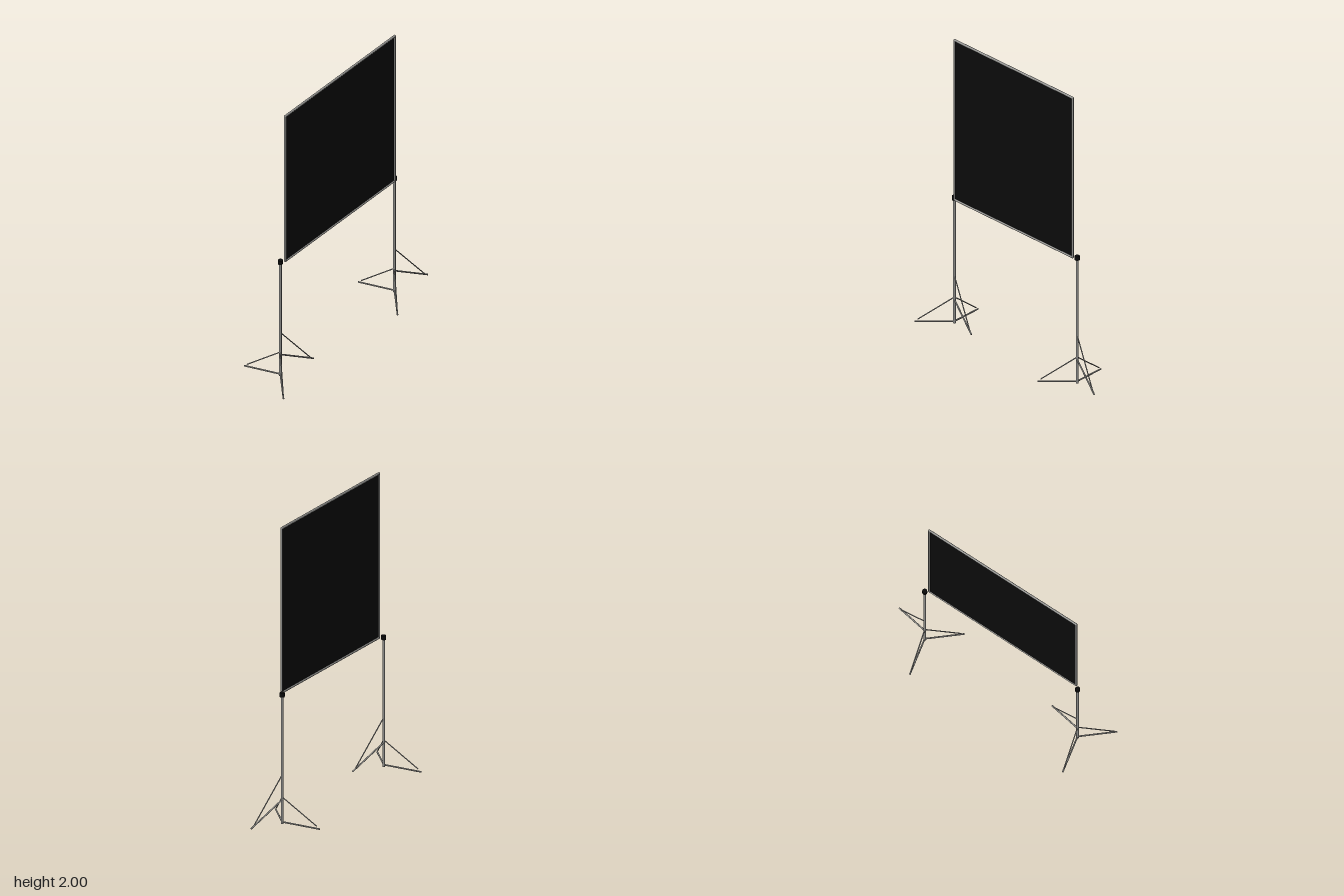
import * as THREE from 'three';

const metal = new THREE.MeshStandardMaterial({ color: 0x999996 });
metal.name = 'grey metal';
const black = new THREE.MeshStandardMaterial({ color: 0x0b0b0b });
black.name = 'black';

// Round bar between two points
function bar(name, a, b, radius) {
  const from = new THREE.Vector3(...a), to = new THREE.Vector3(...b);
  const dir = to.clone().sub(from);
  const mesh = new THREE.Mesh(new THREE.CylinderGeometry(radius, radius, dir.length(), 12), metal);
  mesh.position.copy(from).add(to).multiplyScalar(0.5);
  mesh.quaternion.setFromUnitVectors(new THREE.Vector3(0, 1, 0), dir.normalize());
  mesh.name = name;
  return mesh;
}

// Tripod stand: pole, clamp and three braced legs
function createStand(name) {
  const stand = new THREE.Group();
  stand.name = name;
  stand.add(bar('pole', [0, 0.01, 0], [0, 0.88, 0], 0.009));

  const clamp = new THREE.Mesh(new THREE.CylinderGeometry(0.016, 0.016, 0.028, 20), black);
  clamp.position.y = 0.881;
  clamp.name = 'clamp';
  stand.add(clamp);

  // Foot offset, leg heights at pole and foot, brace heights at pole and foot
  const legs = [
    { x: -0.185, z: 0.17, leg: [0.022, 0.009], brace: [0.19, 0.025] },
    { x: -0.054, z: -0.246, leg: [0.022, 0.009], brace: [0.19, 0.025] },
    { x: 0.243, z: 0.074, leg: [0.172, 0.04], brace: [0.34, 0.052] },
  ];
  for (const { x, z, leg, brace } of legs) {
    stand.add(bar('leg', [0, leg[0], 0], [x, leg[1], z], 0.0052));
    stand.add(bar('legBrace', [0, brace[0], 0], [x * 0.92, brace[1], z * 0.92], 0.0036));
  }
  return stand;
}

export function createModel() {
  const model = new THREE.Group();
  model.name = 'screenOnStands';

  for (const [name, x] of [['rightStand', -0.609], ['leftStand', 0.55]]) {
    const stand = createStand(name);
    stand.position.set(x, 0, 0.036);
    model.add(stand);
  }

  // Tubular frame with ball-rounded corners
  const r = 0.0075, x0 = -0.585, x1 = 0.528, y0 = 0.883, y1 = 1.9925, z = 0.0555;
  const frame = new THREE.Group();
  frame.name = 'screenFrame';
  const corners = [[x0, y0, z], [x1, y0, z], [x1, y1, z], [x0, y1, z]];
  corners.forEach((c, i) => {
    frame.add(bar('frameTube', c, corners[(i + 1) % 4], r));
    const joint = new THREE.Mesh(new THREE.SphereGeometry(r, 12, 8), metal);
    joint.position.set(...c);
    joint.name = 'frameCorner';
    frame.add(joint);
  });
  model.add(frame);

  // Fabric panel
  const panel = new THREE.Mesh(new THREE.BoxGeometry(x1 - x0, y1 - y0, 0.003), black);
  panel.position.set((x0 + x1) / 2, (y0 + y1) / 2, z);
  panel.name = 'screenPanel';
  model.add(panel);

  return model;
}
